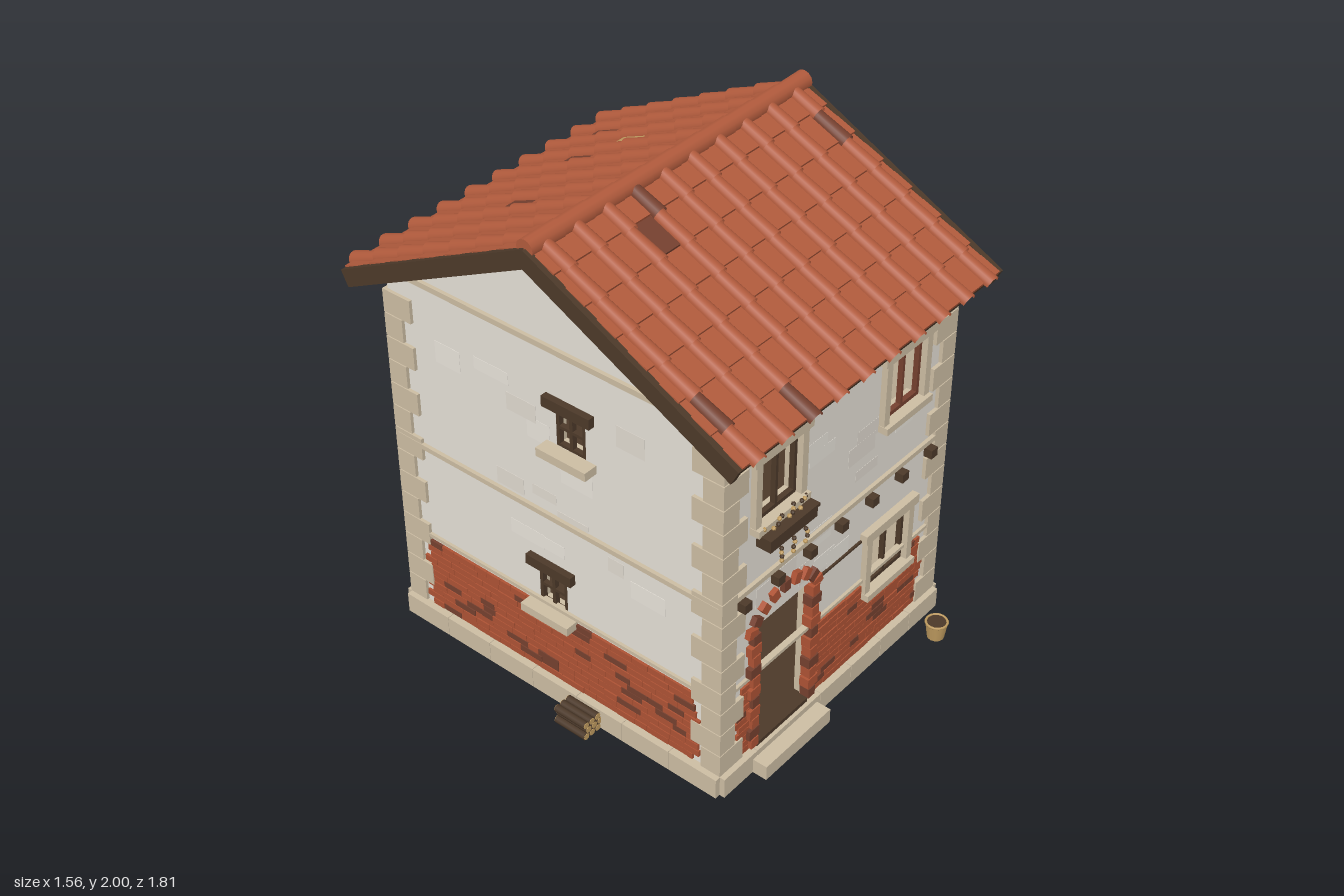
import * as THREE from 'three';

const mat = (name, color) => Object.assign(new THREE.MeshStandardMaterial({ color }), { name });
const plaster = mat('plaster', 0xe3ded5), plasterLight = mat('pale plaster', 0xe7e2d9), plasterDark = mat('worn plaster', 0xded8ce);
const stone = mat('stone', 0xcbbca2), brick = mat('brick', 0xad5234), darkClay = mat('dark clay', 0x75402f);
const tile = mat('roof tile', 0xb05a3c), wood = mat('dark wood', 0x4c3929), straw = mat('straw', 0xc09c60), soil = mat('earth', 0x46332a);
// The curved cover tiles are open shells
tile.side = darkClay.side = THREE.DoubleSide;

let seed = 7;
const rnd = () => (seed = (seed * 16807) % 2147483647) / 2147483647;

function add(parent, name, geo, m, x = 0, y = 0, z = 0) {
  const mesh = new THREE.Mesh(geo, m);
  mesh.name = name;
  mesh.position.set(x, y, z);
  parent.add(mesh);
  return mesh;
}
const box = (parent, name, m, w, h, d, x, y, z) => add(parent, name, new THREE.BoxGeometry(w, h, d), m, x, y, z);
function group(parent, name, x = 0, y = 0, z = 0, ry = 0) {
  const g = new THREE.Group();
  g.name = name;
  g.position.set(x, y, z);
  g.rotation.y = ry;
  parent.add(g);
  return g;
}
// Round bar between two points
function bar(parent, name, m, a, b, r) {
  const p = new THREE.Vector3(...a), q = new THREE.Vector3(...b), d = q.clone().sub(p);
  const mesh = add(parent, name, new THREE.CylinderGeometry(r, r, d.length(), 8), m);
  mesh.position.copy(p).lerp(q, 0.5);
  mesh.quaternion.setFromUnitVectors(new THREE.Vector3(0, 1, 0), d.normalize());
  return mesh;
}

// House extents
const X0 = -0.655, X1 = 0.608, Z0 = -0.75, Z1 = 0.725, MX = -0.023, MZ = -0.012;
const EAVE = 1.535;

// Wall facing local +z with rectangular openings [u0, u1, y0, y1]; apex is the gable point
function wall(root, name, pos, ry, u0, u1, holes, apex, bricks) {
  const g = group(root, name, ...pos, ry);
  const pts = [[u0, 0.08], [u1, 0.08], [u1, EAVE]];
  if (apex !== null) pts.push([apex, 1.905]);
  pts.push([u0, EAVE]);
  const s = new THREE.Shape(pts.map(p => new THREE.Vector2(...p)));
  for (const [a, b, c, d] of holes)
    s.holes.push(new THREE.Path([[a, c], [a, d], [b, d], [b, c]].map(p => new THREE.Vector2(...p))));
  const layer = depth => new THREE.ExtrudeGeometry(s, { depth, bevelEnabled: false });
  add(g, 'plaster face', layer(0.02), plaster, 0, 0, -0.02);
  add(g, 'inner lining', layer(0.03), stone, 0, 0, -0.05);
  // Faint plaster patches
  for (let i = 0; i < 14; i++) {
    const w = 0.06 + rnd() * 0.1, h = 0.04 + rnd() * 0.05;
    const u = u0 + 0.2 + rnd() * (u1 - u0 - 0.4), y = (bricks ? 0.5 : 0.2) + rnd() * (bricks ? 0.95 : 1.25);
    if (holes.every(p => u + w / 2 < p[0] || u - w / 2 > p[1] || y + h / 2 < p[2] || y - h / 2 > p[3]))
      box(g, 'plaster patch', i % 2 ? plasterLight : plasterDark, w, h, 0.0015 + i * 0.0001, u, y, 0);
  }
  // Exposed brick courses with ragged ends, broken at the openings
  if (bricks) for (let r = 0; r < 11; r++) {
    const y = 0.105 + r * 0.029;
    let spans = [[u0 + 0.06 + rnd() * 0.06, u1 - 0.06 - rnd() * 0.06]];
    for (const [a, b, c, d] of holes) if (y > c - 0.03 && y < d)
      spans = spans.flatMap(([p, q]) => [[p, Math.min(q, a - 0.012)], [Math.max(p, b + 0.012), q]]).filter(([p, q]) => q > p);
    for (const [start, end] of spans) for (let u = start; u < end - 0.012;) {
      const w = Math.min(0.05 + rnd() * 0.06, end - u);
      box(g, 'brick', rnd() < 0.14 ? darkClay : brick, w - 0.002, 0.0255, 0.016 + rnd() * 0.006, u + w / 2, y, 0);
      u += w;
    }
  }
  // Thin string courses
  const mid = (u0 + u1) / 2, len = u1 - u0;
  box(g, 'string course', stone, len, 0.02, 0.03, mid, 0.845, 0);
  if (bricks) box(g, 'brick capping', stone, len, 0.014, 0.024, mid, 0.433, 0);
  if (apex !== null) box(g, 'gable course', stone, len, 0.022, 0.03, mid, 1.56, 0);
  return g;
}

// Stone-framed casement window
function casement(g, [a, b, c, d], m) {
  const w = group(g, 'casement window', (a + b) / 2, 0, 0), W = b - a, H = d - c, y = (c + d) / 2;
  box(w, 'head stone', stone, W + 0.09, 0.04, 0.05, 0, d + 0.018, 0.005);
  for (const s of [-1, 1]) {
    box(w, 'jamb stone', stone, 0.03, H, 0.04, s * (W / 2 + 0.013), y, 0.004);
    box(w, 'frame upright', m, 0.016, H, 0.02, s * (W / 2 - 0.008), y, -0.01);
    box(w, 'frame rail', m, W, 0.016, 0.02, 0, y + s * (H / 2 - 0.008), -0.01);
  }
  box(w, 'mullion', m, 0.012, H, 0.02, 0, y, -0.01);
  box(w, 'sill stone', stone, W + 0.06, 0.028, 0.06, 0, c - 0.014, 0.01);
}

// Small window with timber lintel
function smallWindow(g, [a, b, c, d]) {
  const w = group(g, 'small window', (a + b) / 2, 0, 0), W = b - a, H = d - c, y = (c + d) / 2;
  box(w, 'lintel', wood, W + 0.08, 0.042, 0.045, 0, d + 0.018, 0.004);
  for (const s of [-1, 0, 1]) {
    box(w, 'upright', wood, 0.014, H, 0.02, s * (W / 2 - 0.007), y, -0.011);
    box(w, 'cross bar', wood, W, 0.012, 0.02, 0, y + s * (H / 2 - 0.006), -0.011);
  }
  box(w, 'sill', stone, W + 0.09, 0.034, 0.075, 0, c - 0.017, 0.02);
}

// Planter with trailing plants
function planter(g, u, y, w) {
  const p = group(g, 'flower box', u, y, 0.045);
  box(p, 'trough', wood, w, 0.05, 0.06, 0, 0, 0);
  box(p, 'trough rim', wood, w + 0.012, 0.012, 0.07, 0, 0.024, 0);
  const dot = new THREE.IcosahedronGeometry(0.009, 0);
  for (let i = 0; i < 14; i++) add(p, 'sprig', dot, i % 2 ? wood : straw, (i / 13 - 0.5) * w * 0.9, 0.036 + rnd() * 0.026, (rnd() - 0.5) * 0.03);
  for (const s of [-0.28, -0.02, 0.24]) for (let k = 0; k < 4; k++)
    add(p, 'trailing plant', dot, k % 2 ? straw : wood, s * w + (rnd() - 0.5) * 0.012, -0.03 - k * 0.018, 0.036);
}

// One roof slope; local +z runs down the slope
function slope(root, side, darkPans, darkCovers, strawPans) {
  const turn = group(root, side > 0 ? 'frontRoof' : 'backRoof', 0, 1.945, MZ, side > 0 ? 0 : Math.PI);
  const g = group(turn, 'slope');
  g.rotation.x = 0.468;
  const L = 0.955, row = 0.14, X = x => side * x;
  box(g, 'roof deck', wood, 1.4, 0.03, L, X(-0.024), -0.015, L / 2);
  for (const x of [-0.732, 0.686]) box(g, 'barge board', wood, 0.024, 0.066, L + 0.01, X(x), -0.013, L / 2);
  for (let i = 0; i < 8; i++) box(g, 'rafter end', wood, 0.024, 0.034, 0.2, X(-0.54 + i * 0.15), -0.045, L - 0.12);
  const cover = new THREE.CylinderGeometry(0.026, 0.031, row + 0.02, 10, 1, true, -Math.PI / 2, Math.PI).rotateX(-Math.PI / 2);
  for (let r = 0; r < 7; r++) {
    const z = L - (6.5 - r) * row;
    for (let i = -1; i < 10; i++) {
      const key = i + ',' + r, edge = i < 0 || i > 8, w = edge ? 0.068 : 0.139;
      const x = i < 0 ? -0.69 : i > 8 ? 0.642 : -0.59 + i * 0.141;
      const m = darkPans.includes(key) ? darkClay : strawPans.includes(key) ? straw : tile;
      box(g, 'pan tile', m, w, 0.016, row + 0.006, X(x), 0.013, z).rotation.x = -0.08;
      if (i < 0) continue;
      const c = add(g, 'cover tile', cover, darkCovers.includes(key) ? darkClay : tile, X(-0.66 + i * 0.141), 0.018, z + 0.01);
      c.rotation.x = -0.05;
    }
  }
}

export function createModel() {
  const root = new THREE.Group();
  root.name = 'house';

  // Base, plinth and floors
  box(root, 'foundation', soil, 1.24, 0.08, 1.46, MX, 0.046, MZ);
  box(root, 'ground floor', wood, 1.2, 0.01, 1.42, MX, 0.09, MZ);
  box(root, 'upper floor', wood, 1.2, 0.03, 1.42, MX, 0.81, MZ);
  const plinth = group(root, 'plinth');
  for (let i = 0; i < 7; i++) for (const z of [0.725, -0.749])
    box(plinth, 'plinth block', stone, 0.182, 0.086, 0.07, -0.667 + 1.288 * (i + 0.5) / 7, 0.043, z);
  for (let i = 0; i < 7; i++) for (const x of [-0.653, 0.607])
    box(plinth, 'plinth block', stone, 0.07, 0.086, 0.213, x, 0.043, -0.764 + 1.504 * (i + 0.5) / 7);

  // Walls and windows
  const fw = [[-0.485, -0.27, 1.1, 1.36], [0.22, 0.43, 1.1, 1.36], [0.17, 0.4, 0.375, 0.62]];
  const front = wall(root, 'frontWall', [0, 0, Z1], 0, X0, X1, [...fw, [-0.48, -0.165, 0.085, 0.635]], null, true);
  fw.forEach((h, i) => casement(front, h, i === 1 ? darkClay : wood));
  planter(front, -0.373, 1.045, 0.25);
  const rw = [[0.075, 0.265, 1.13, 1.345], [-0.255, -0.06, 0.38, 0.61]];
  const side = wall(root, 'rightWall', [X1, 0, 0], Math.PI / 2, -Z1, -Z0, rw, -MZ, true);
  rw.forEach(h => casement(side, h, wood));
  planter(side, 0.172, 1.065, 0.225);
  const bw = [[0.13, 0.26, 1.17, 1.33], [-0.185, -0.055, 0.42, 0.59]];
  const back = wall(root, 'backWall', [0, 0, Z0], Math.PI, -X1, -X0, bw, null, false);
  bw.forEach(h => smallWindow(back, h));
  const lw = [[0.02, 0.15, 1.17, 1.33], [-0.09, 0.04, 0.42, 0.59]];
  const left = wall(root, 'leftWall', [X0, 0, 0], -Math.PI / 2, Z0, Z1, lw, MZ, true);
  lw.forEach(h => smallWindow(left, h));

  // Corner quoins, long and short by turns
  const quoins = group(root, 'quoins');
  for (const sx of [-1, 1]) for (const sz of [-1, 1]) for (let i = 0; i < 14; i++) {
    const w = i % 2 ? 0.08 : 0.125, d = i % 2 ? 0.13 : 0.085;
    box(quoins, 'quoin', stone, w, 0.094, d, MX + sx * (0.645 - w / 2), 0.137 + i * 0.0985, MZ + sz * (0.752 - d / 2));
  }

  // Doorway: brick jambs, arch, threshold and step
  const doorway = group(root, 'doorway', -0.3225, 0, Z1);
  const clay = i => (i % 3 === 1 ? darkClay : brick);
  for (const s of [-1, 1]) for (let i = 0; i < 11; i++)
    box(doorway, 'jamb brick', clay(i + (s > 0 ? 1 : 0)), i % 2 ? 0.055 : 0.038, 0.042, 0.04, s * (0.163 + (i % 2) * 0.004), 0.122 + i * 0.0485, 0.005);
  for (let i = 0; i < 9; i++) {
    const a = Math.PI * (0.08 + 0.84 * i / 8);
    box(doorway, 'arch brick', clay(i), 0.034, 0.045, 0.035, Math.cos(a) * 0.185, 0.605 + Math.sin(a) * 0.13, 0.004).rotation.z = a - Math.PI / 2;
  }
  box(doorway, 'threshold', wood, 0.29, 0.022, 0.06, 0, 0.092, -0.01);
  box(doorway, 'step', stone, 0.37, 0.062, 0.12, 0, 0.031, 0.035);

  // Indoor furnishings glimpsed through the openings
  const inside = group(root, 'furnishings');
  for (let i = 0; i < 3; i++) box(inside, 'indoor stair', stone, 0.11, 0.05 + i * 0.035, 0.1, -0.41, 0.115 + i * 0.0175, 0.1 - i * 0.1);
  add(inside, 'jug', new THREE.SphereGeometry(0.03, 10, 8), wood, -0.435, 0.24, -0.1);
  box(inside, 'table', wood, 0.14, 0.016, 0.12, 0.02, 0.46, 0.11);
  for (const z of [0.06, 0.16]) box(inside, 'table leg', wood, 0.02, 0.36, 0.02, 0.02, 0.275, z);
  add(inside, 'clay pot', new THREE.SphereGeometry(0.025, 10, 8), brick, 0.02, 0.49, 0.1);

  // Floor beam ends and rail above the lower window
  for (let i = 0; i < 7; i++) box(root, 'beam end', wood, 0.037, 0.037, 0.06, -0.553 + i * 0.178, 0.802, Z1 + 0.005);
  box(root, 'iron rail', wood, 0.3, 0.008, 0.012, -0.01, 0.627, Z1 + 0.003);

  // Roof slopes and ridge
  slope(root, 1, ['2,1'], ['3,0', '9,1', '0,5', '2,6'], []);
  slope(root, -1, ['5,4', '7,5', '2,3'], [], ['6,3']);
  const ridge = new THREE.CylinderGeometry(0.035, 0.038, 0.15, 12).rotateZ(Math.PI / 2);
  for (let i = 0; i < 10; i++) add(root, 'ridge tile', ridge, tile, -0.655 + i * 0.1415, 1.962, MZ);

  // Ladder leaning on the right wall
  const ladder = group(root, 'ladder');
  const lx = y => 0.772 - y * 0.25;
  for (const [z, top] of [[0.05, 0.575], [-0.068, 0.645]]) bar(ladder, 'ladder rail', wood, [lx(0), 0.003, z], [lx(top), top, z], 0.011);
  for (let y = 0.1; y < 0.6; y += 0.128) bar(ladder, 'rung', wood, [lx(y), y, 0.05], [lx(y), y, -0.068], 0.008);

  // Basket by the front step
  const basket = group(root, 'basket', 0.48, 0, 0.855);
  add(basket, 'basket body', new THREE.CylinderGeometry(0.043, 0.033, 0.07, 12), straw, 0, 0.035, 0);
  add(basket, 'basket rim', new THREE.TorusGeometry(0.041, 0.005, 6, 16).rotateX(Math.PI / 2), straw, 0, 0.071, 0);
  add(basket, 'basket hollow', new THREE.CylinderGeometry(0.036, 0.036, 0.003, 12), wood, 0, 0.071, 0);

  // Stacked logs against the left wall
  const logs = group(root, 'log pile');
  for (let r = 0; r < 3; r++) for (let i = 0; i < 3; i++) {
    const x = -0.764 + i * 0.03 + (r % 2) * 0.012, y = 0.016 + r * 0.027;
    bar(logs, 'log', wood, [x, y, 0.07], [x, y, 0.21], 0.015);
    bar(logs, 'log end', straw, [x, y, 0.068], [x, y, 0.212], 0.0135);
  }
  return root;
}
